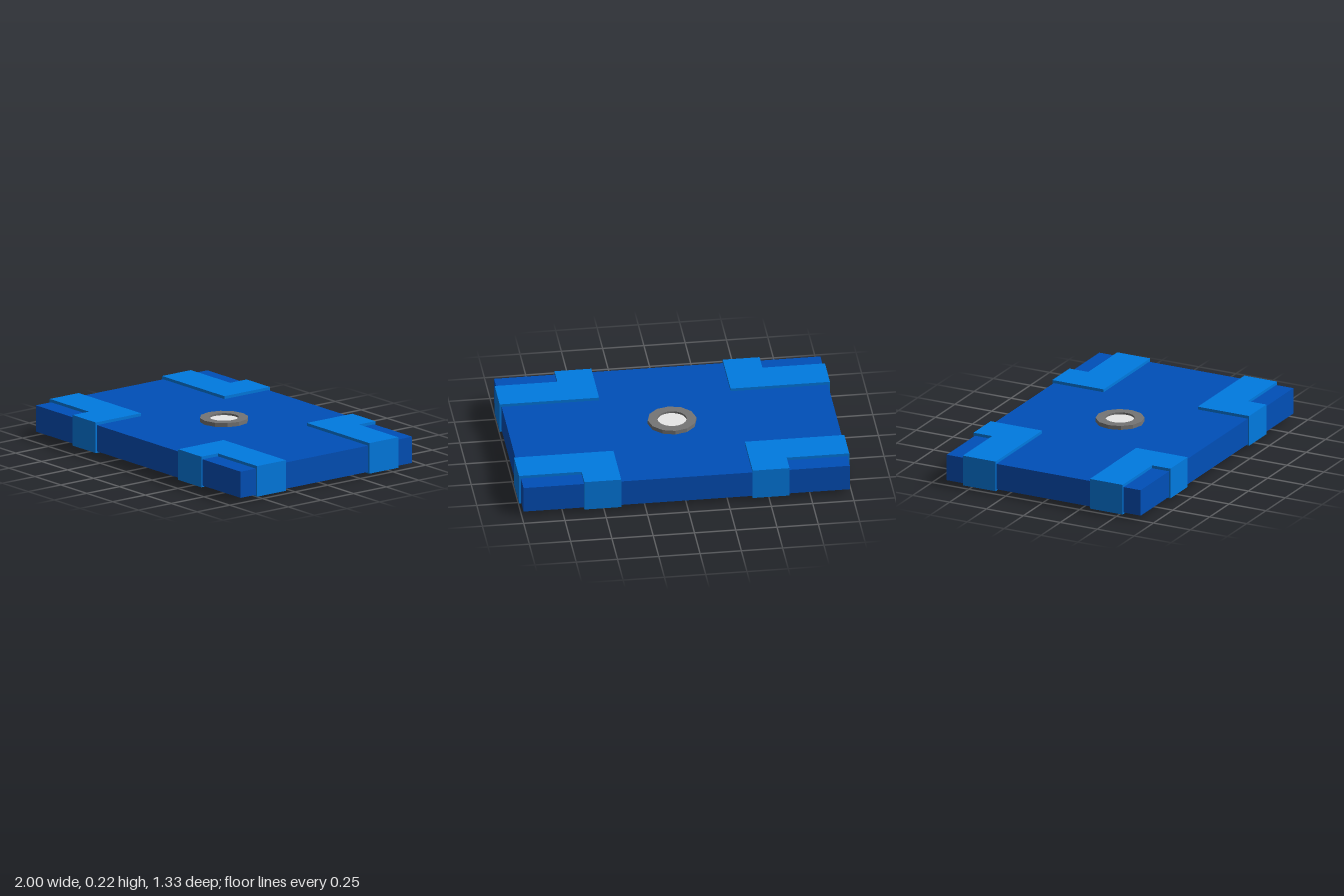
import * as THREE from 'three';

const material = (name, color) => {
  const m = new THREE.MeshStandardMaterial({ color });
  m.name = name;
  return m;
};

// Extrude an outline drawn in x/z upwards from y0 to y1
function slab(shape, y0, y1) {
  const g = new THREE.ExtrudeGeometry(shape, { depth: y1 - y0, bevelEnabled: false });
  g.rotateX(-Math.PI / 2);
  g.translate(0, y0, 0);
  return g;
}

const polygon = (radius, sides) =>
  Array.from({ length: sides }, (_, i) => {
    const a = (i / sides) * Math.PI * 2;
    return new THREE.Vector2(radius * Math.cos(a), radius * Math.sin(a));
  });

export function createModel() {
  const model = new THREE.Group();
  model.name = 'panel';
  const deepBlue = material('deep blue', 0x004fb8);
  const brightBlue = material('bright blue', 0x007ae0);
  const grey = material('grey', 0x757575);
  const lightGrey = material('light grey', 0xe8e8e8);

  const add = (name, geometry, mat) => {
    const mesh = new THREE.Mesh(geometry, mat);
    mesh.name = name;
    model.add(mesh);
  };

  // Main slab
  const body = new THREE.BoxGeometry(1.976, 0.163, 1.314);
  body.translate(0, 0.1085, 0);
  add('slab', body, deepBlue);

  // L-shaped bands wrapping each corner
  const outline = [[0.398, 0.319], [1, 0.319], [1, 0.541], [0.621, 0.541], [0.621, 0.667], [0.398, 0.667]];
  for (const [sx, xName] of [[1, 'Left'], [-1, 'Right']]) {
    for (const [sz, zName] of [[1, 'front'], [-1, 'back']]) {
      const shape = new THREE.Shape(outline.map(([x, z]) => new THREE.Vector2(sx * x, -sz * z)));
      add(`${zName}${xName}CornerBand`, slab(shape, 0.018, 0.208), brightBlue);
    }
  }

  // Central twelve-sided ring with a round, recessed core
  const ring = new THREE.Shape(polygon(0.147, 12));
  ring.holes.push(new THREE.Path(polygon(0.088, 24)));
  add('hubRing', slab(ring, 0, 0.215), grey);
  add('hubCore', slab(new THREE.Shape(polygon(0.088, 24)), 0.012, 0.203), lightGrey);

  return model;
}
